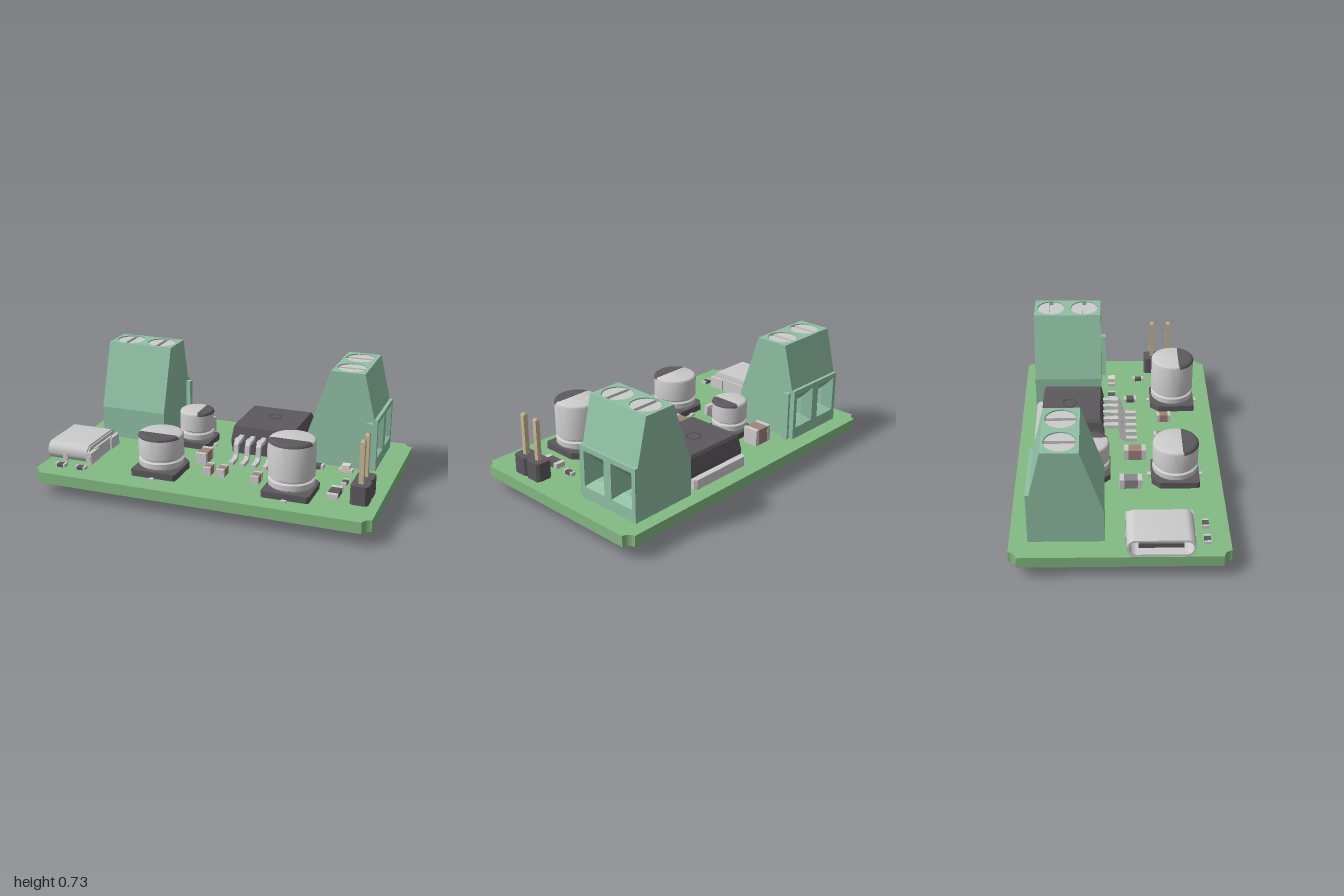
import * as THREE from 'three';
import { mergeGeometries, toCreasedNormals } from 'three/addons/utils/BufferGeometryUtils.js';

const T = 0.146; // top of the board
const GREY = 0xcccccc, DARK = 0x5c595c, BOARD = 0x82ba82, GREEN = 0x8fc0a4, TAN = 0xc9b892, BROWN = 0xa08476;
const mats = {};
const mat = (c, side = THREE.FrontSide) =>
  (mats[c + '_' + side] ??= new THREE.MeshStandardMaterial({ color: c, side }));

function add(parent, name, geo, color, side) {
  const m = new THREE.Mesh(geo, mat(color, side));
  m.name = name;
  parent.add(m);
  return m;
}
function group(parent, name, x = 0, z = 0, turn = 0) {
  const g = new THREE.Group();
  g.name = name;
  g.position.set(x, 0, z);
  g.rotation.y = turn;
  parent.add(g);
  return g;
}
const box = (parent, name, color, x0, x1, y0, y1, z0, z1) =>
  add(parent, name, new THREE.BoxGeometry(x1 - x0, y1 - y0, z1 - z0)
    .translate((x0 + x1) / 2, (y0 + y1) / 2, (z0 + z1) / 2), color);
const poly = pts => new THREE.Shape(pts.map(p => new THREE.Vector2(p[0], p[1])));
const rectPath = (x0, x1, y0, y1) => poly([[x0, y0], [x1, y0], [x1, y1], [x0, y1]]);
// outline of [x, z] points, raised from y0 to y1
const extrudeY = (pts, y0, y1) =>
  new THREE.ExtrudeGeometry(poly(pts.map(([x, z]) => [x, -z])), { depth: y1 - y0, bevelEnabled: false })
    .rotateX(-Math.PI / 2).translate(0, y0, 0);
// shape drawn in (z, y), stretched from x0 to x1
const extrudeX = (shape, x0, x1) =>
  new THREE.ExtrudeGeometry(shape, { depth: x1 - x0, bevelEnabled: false, curveSegments: 8 })
    .rotateY(-Math.PI / 2).translate(x1, 0, 0);
// skin over successive loops, closed at the last one
function loft(loops) {
  const pos = [], n = loops[0].length;
  const tri = (...p) => p.forEach(v => pos.push(...v));
  for (let k = 0; k + 1 < loops.length; k++)
    for (let i = 0; i < n; i++) {
      const a = loops[k], b = loops[k + 1], j = (i + 1) % n;
      tri(a[i], a[j], b[j]);
      tri(a[i], b[j], b[i]);
    }
  const e = loops.at(-1);
  for (let i = 1; i + 1 < n; i++) tri(e[0], e[i], e[i + 1]);
  const g = new THREE.BufferGeometry();
  g.setAttribute('position', new THREE.Float32BufferAttribute(pos, 3));
  g.computeVertexNormals();
  return g;
}

function addBoard(parent) {
  const hx = 1, hz = 0.593, r = 0.045, pts = [];
  [[1, 1], [-1, 1], [-1, -1], [1, -1]].forEach(([sx, sz], i) => {
    for (let k = 0; k <= 8; k++) {
      const a = (i - 1 - k / 8) * Math.PI / 2;
      pts.push([sx * hx + r * Math.cos(a), sz * hz + r * Math.sin(a)]);
    }
  });
  add(parent, 'circuitBoard', extrudeY(pts, 0.08, T), BOARD);
}

// two-way screw terminal, wire openings towards local +z
function addTerminal(parent, x, z, turn) {
  const g = group(parent, 'screwTerminal', x, z, turn);
  const W = 0.415, sx = 0.104;
  const prof = [[0.205, T], [0.205, 0.458], [0.185, 0.458], [0.12, 0.725], [-0.08, 0.725], [-0.207, 0.337], [-0.207, T]];
  const parts = [];
  for (let i = 0; i + 1 < prof.length; i++) {
    const [z0, y0] = prof[i], [z1, y1] = prof[i + 1];
    const s = rectPath(-W / 2, W / 2, 0, Math.hypot(z1 - z0, y1 - y0));
    for (const c of [-sx, sx]) {
      if (i === 0) s.holes.push(rectPath(c - 0.077, c + 0.077, 0.217 - T, 0.43 - T));
      if (i === 3) s.holes.push(new THREE.Path().absarc(c, 0.1, 0.086, 0, Math.PI * 2));
    }
    parts.push(new THREE.ShapeGeometry(s, 20).rotateX(Math.atan2(z1 - z0, y1 - y0)).translate(0, y0, z0));
  }
  parts.push(new THREE.ShapeGeometry(poly(prof)).rotateY(-Math.PI / 2).translate(-W / 2, 0, 0));
  parts.push(new THREE.ShapeGeometry(poly(prof.map(([a, b]) => [-a, b]))).rotateY(Math.PI / 2).translate(W / 2, 0, 0));
  add(g, 'terminalHousing', mergeGeometries(parts), GREEN, THREE.DoubleSide);
  // interlocking rib, wider at its outer edge
  const rx = -W / 2;
  add(g, 'sideRib', extrudeY([[rx, 0.155], [rx, 0.175], [rx - 0.03, 0.185], [rx - 0.03, 0.145]], T, 0.443), GREEN);
  for (const c of [-sx, sx]) {
    const loop = (w, y0, y1, zz) => [[c - w, y0, zz], [c + w, y0, zz], [c + w, y1, zz], [c - w, y1, zz]];
    add(g, 'wireOpening', loft([loop(0.077, 0.217, 0.43, 0.205), loop(0.055, 0.242, 0.357, 0.14),
      loop(0.055, 0.242, 0.357, 0.03)]), GREEN, THREE.DoubleSide);
    add(g, 'screwWell', new THREE.CylinderGeometry(0.086, 0.086, 0.03, 32, 1, true).translate(c, 0.71, 0.02), GREEN, THREE.DoubleSide);
    add(g, 'screwCore', new THREE.CylinderGeometry(0.085, 0.085, 0.01, 32).translate(c, 0.695, 0.02), GREY);
    for (const s of [-1, 1]) {
      const half = [], a0 = Math.asin(0.012 / 0.083);
      for (let k = 0; k <= 14; k++) {
        const a = a0 + (Math.PI - 2 * a0) * k / 14;
        half.push([c + s * 0.083 * Math.sin(a), 0.02 + 0.083 * Math.cos(a)]);
      }
      add(g, 'screwHeadHalf', extrudeY(half, 0.7, 0.72), GREY);
    }
    add(g, 'solderPin', new THREE.CylinderGeometry(0.021, 0.021, T, 8).rotateY(Math.PI / 8).translate(c, T / 2, 0.01), GREY);
  }
}

// can capacitor, polarity mark towards local +z
function addCapacitor(parent, x, z, r, top, turn = 0) {
  const g = group(parent, 'canCapacitor', x, z, turn);
  const h = r + 0.006, c = h * 0.35, e = 0.012;
  const base = [[-h + e, h], [h - e, h], [h, h - e], [h, -h + c], [h - c, -h], [-h + c, -h], [-h, -h + c], [-h, h - e]];
  add(g, 'capacitorBase', extrudeY(base, T + 0.006, 0.19), DARK);
  box(g, 'capacitorLeads', GREY, -0.014, 0.014, T, T + 0.012, -h - 0.022, h + 0.022);
  const f = 0.018, rim = d => [0, 1, 2, 3, 4].map(k => new THREE.Vector2(
    r - f + (f + d) * Math.cos(k * Math.PI / 8), top - f + (f + d) * Math.sin(k * Math.PI / 8)));
  const prof = [[r - 0.02, 0.18], [r - 0.012, 0.198], [r, 0.206], [r, 0.236], [r - 0.012, 0.243], [r - 0.012, 0.25], [r, 0.258]]
    .map(p => new THREE.Vector2(...p));
  const can = new THREE.LatheGeometry([...prof, ...rim(0), new THREE.Vector2(0, top)], 40);
  add(g, 'capacitorCan', toCreasedNormals(can, 0.6), GREY);
  const a = Math.acos(0.04 / r), seg = [];
  for (let k = 0; k <= 20; k++) {
    const t = a * (k / 10 - 1);
    seg.push([(r - f) * Math.sin(t), (r - f) * Math.cos(t)]);
  }
  add(g, 'polarityMark', extrudeY(seg, top - 0.002, top + 0.0015), DARK);
  add(g, 'polarityRim', new THREE.LatheGeometry(rim(0.0015), 20, -a, 2 * a), DARK, THREE.DoubleSide);
}

function addRegulator(parent) {
  const g = group(parent, 'powerRegulator', 0.195, 0);
  const w = 0.209;
  const ring = (d, y) => [[-w + d, y, -0.08 - d], [w - d, y, -0.08 - d], [w - d, y, -0.465 + d], [-w + d, y, -0.465 + d]];
  add(g, 'regulatorBody', loft([ring(0.008, T), ring(0, 0.23), ring(0.014, 0.315), ring(0.024, 0.332)]), DARK);
  add(g, 'indexDimple', new THREE.TorusGeometry(0.04, 0.002, 6, 28).rotateX(Math.PI / 2).translate(0, 0.332, -0.29), 0x444244);
  add(g, 'heatTab', extrudeY([[-w, -0.2], [w, -0.2], [w, -0.485], [w - 0.015, -0.5], [-w + 0.015, -0.5], [-w, -0.485]], T, 0.205), GREY);
  const lead = poly([[-0.1, 0.268], [0.005, 0.268], [0.028, 0.247], [0.034, 0.185], [0.05, 0.17], [0.118, 0.17],
    [0.118, 0.148], [0.04, 0.148], [0.014, 0.172], [0.008, 0.238], [0, 0.246], [-0.1, 0.246]]);
  for (let i = -2; i <= 2; i++) {
    const x = i * 0.0695;
    add(g, 'regulatorLead', extrudeX(lead, x - 0.014, x + 0.014), GREY);
    box(g, 'leadShoulder', GREY, x - 0.019, x + 0.019, 0.246, 0.268, -0.04, 0.004);
  }
}

function addUsbSocket(parent) {
  const g = group(parent, 'usbSocket', 0, 0.216);
  const stadium = (h, y0, y1, r) => {
    const s = new THREE.Shape();
    s.absarc(h - r, y0 + r, r, -Math.PI / 2, 0);
    s.absarc(h - r, y1 - r, r, 0, Math.PI / 2);
    s.absarc(-h + r, y1 - r, r, Math.PI / 2, Math.PI);
    s.absarc(-h + r, y0 + r, r, Math.PI, Math.PI * 1.5);
    s.closePath();
    return s;
  };
  const shell = stadium(0.183, T + 0.002, 0.255, 0.05);
  shell.holes.push(stadium(0.17, T + 0.014, 0.243, 0.04));
  add(g, 'socketShell', toCreasedNormals(extrudeX(shell, -0.997, -0.742), 0.6), GREY);
  add(g, 'socketBack', extrudeX(stadium(0.172, T + 0.012, 0.245, 0.04), -0.79, -0.735), GREY);
  box(g, 'socketTongue', DARK, -0.975, -0.78, 0.188, 0.213, -0.12, 0.12);
  box(g, 'socketRearInsert', GREY, -0.74, -0.722, T, 0.225, -0.11, 0.11);
  for (const s of [-1, 1]) {
    const zs = [s * 0.183, s * 0.08].sort((a, b) => a - b);
    box(g, 'rearWing', GREY, -0.745, -0.712, T + 0.004, 0.22, ...zs);
    for (const x of [-0.885, -0.73])
      box(g, 'mountingTab', GREY, x - 0.015, x + 0.015, 0.043, 0.2, s * 0.181 - 0.006, s * 0.181 + 0.006);
  }
}

function addPinHeader(parent) {
  const g = group(parent, 'pinHeader', 0.889, 0.292);
  const w = 0.051, c = 0.015;
  for (const z of [-0.0525, 0.0525]) {
    const v = 0.0525;
    add(g, 'headerBlock', extrudeY([[-w, z - v + c], [-w + c, z - v], [w - c, z - v], [w, z - v + c],
      [w, z + v - c], [w - c, z + v], [-w + c, z + v], [-w, z + v - c]], T, 0.256), DARK);
    add(g, 'headerPin', loft([[0.007, 0.027], [0.0135, 0.037], [0.0135, 0.496], [0.007, 0.506]]
      .map(([d, y]) => [[-d, y, z + d], [d, y, z + d], [d, y, z - d], [-d, y, z - d]])), TAN, THREE.DoubleSide);
  }
}

// chip with a coloured middle and two metal ends, long side along x or z
function addChip(parent, x, z, length, width, height, color, alongZ) {
  const g = group(parent, 'chipComponent', x, z, alongZ ? Math.PI / 2 : 0);
  const l = length / 2, w = width / 2, e = length * 0.2;
  box(g, 'chipBody', color, -l + e, l - e, T, T + height - 0.002, -w + 0.001, w - 0.001);
  for (const s of [-1, 1]) {
    const xs = [s * l, s * (l - e)].sort((a, b) => a - b);
    box(g, 'chipEnd', GREY, ...xs, T, T + height, -w, w);
  }
}

export function createModel() {
  const model = new THREE.Group();
  model.name = 'powerBoard';
  addBoard(model);
  addTerminal(model, -0.664, -0.287, Math.PI);
  addTerminal(model, 0.665, -0.3055, Math.PI / 2);
  addCapacitor(model, -0.292, 0.326, 0.131, 0.39);
  addCapacitor(model, -0.265, -0.155, 0.104, 0.373, Math.PI / 2);
  addCapacitor(model, 0.5, 0.35, 0.131, 0.47);
  addRegulator(model);
  addUsbSocket(model);
  addPinHeader(model);
  // x, z, length, width, height, colour, along z
  [
    [-0.297, -0.347, 0.128, 0.096, 0.1, BROWN, false],
    [-0.39, 0.07, 0.128, 0.064, 0.06, 0x8b838c, true],
    [-0.115, 0.1, 0.128, 0.064, 0.069, BROWN, true],
    [-0.024, 0.262, 0.085, 0.046, 0.05, BROWN, true],
    [0.06, 0.262, 0.085, 0.046, 0.05, BROWN, true],
    [0.275, 0.289, 0.085, 0.046, 0.05, BROWN, true],
    [0.735, 0.305, 0.134, 0.064, 0.03, DARK, true],
    [0.751, 0.144, 0.068, 0.032, 0.022, DARK, true],
    [0.5, 0.086, 0.08, 0.048, 0.025, DARK, true],
    [0.543, -0.032, 0.075, 0.048, 0.025, DARK, false],
    [0.714, -0.032, 0.08, 0.048, 0.02, TAN, false],
    [-0.875, 0.467, 0.064, 0.037, 0.02, DARK, false],
    [-0.746, 0.467, 0.064, 0.037, 0.02, DARK, false],
  ].forEach(c => addChip(model, ...c));
  box(model, 'indicatorLens', 0xded6c4, 0.69, 0.738, T, 0.193, -0.055, -0.009);
  return model;
}
